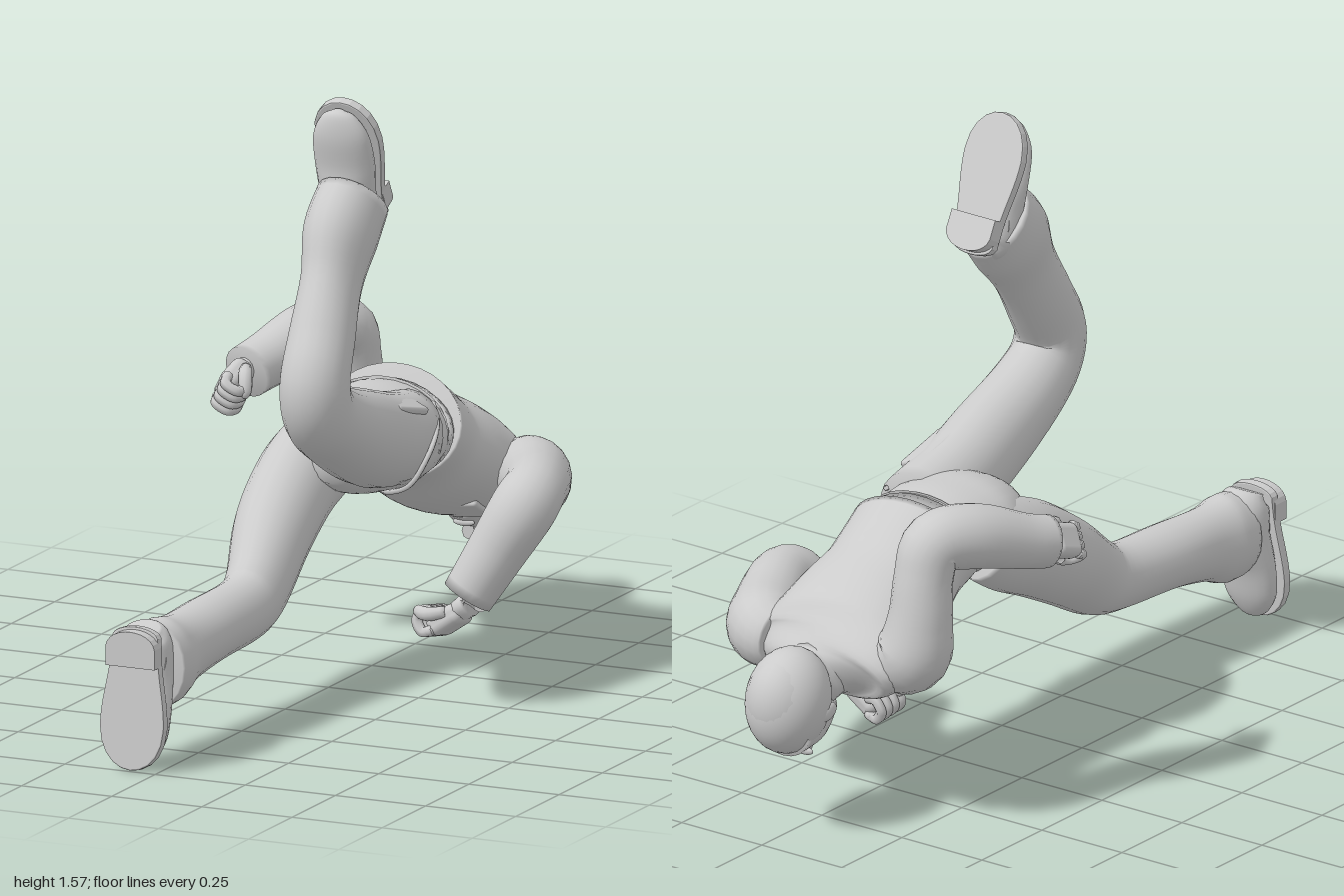
import * as THREE from 'three';
import { RoundedBoxGeometry } from 'three/addons/geometries/RoundedBoxGeometry.js';

const V = (x, y, z) => new THREE.Vector3(x, y, z);
const grey = new THREE.MeshStandardMaterial({ color: 0xcccccc, side: THREE.DoubleSide });

function add(parent, name, geometry, pos = [0, 0, 0], scale = [1, 1, 1], rot = [0, 0, 0]) {
  const mesh = new THREE.Mesh(geometry, grey);
  mesh.name = name;
  mesh.position.set(...pos);
  mesh.scale.set(...scale);
  mesh.rotation.set(...rot);
  parent.add(mesh);
}

// Group whose local y and z axes point along up and forward
function frame(parent, name, pos, up, forward) {
  const g = new THREE.Group();
  g.name = name;
  const z = V(...forward).normalize();
  const x = V(...up).cross(z).normalize();
  g.quaternion.setFromRotationMatrix(new THREE.Matrix4().makeBasis(x, z.clone().cross(x), z));
  g.position.set(...pos);
  parent.add(g);
  return g;
}

// Smooth skin over elliptical sections [x, y, z, half width along side, half depth]
function loft(sections, side = [1, 0, 0], steps = 5, sides = 20) {
  const path = new THREE.CatmullRomCurve3(sections.map(s => V(s[0], s[1], s[2])), false, 'catmullrom');
  const size = new THREE.CatmullRomCurve3(sections.map(s => V(s[3], s[4] ?? s[3], 0)), false, 'catmullrom');
  const n = (sections.length - 1) * steps;
  const pos = [], index = [];
  for (let i = 0; i <= n; i++) {
    const p = path.getPoint(i / n), r = size.getPoint(i / n), t = path.getTangent(i / n);
    const u = V(...side).addScaledVector(t, -t.dot(V(...side))).normalize();
    const v = t.clone().cross(u);
    for (let j = 0; j < sides; j++) {
      const a = j / sides * Math.PI * 2;
      const q = p.clone().addScaledVector(u, r.x * Math.cos(a)).addScaledVector(v, r.y * Math.sin(a));
      pos.push(q.x, q.y, q.z);
    }
  }
  const first = pos.length / 3;
  pos.push(...path.getPoint(0).toArray(), ...path.getPoint(1).toArray());
  for (let j = 0; j < sides; j++) {
    const k = (j + 1) % sides;
    for (let i = 0; i < n; i++) {
      const a = i * sides + j, b = i * sides + k;
      index.push(a, b, b + sides, a, b + sides, a + sides);
    }
    index.push(first, k, j, first + 1, n * sides + j, n * sides + k);
  }
  const g = new THREE.BufferGeometry();
  g.setAttribute('position', new THREE.Float32BufferAttribute(pos, 3));
  g.setIndex(index);
  g.computeVertexNormals();
  return g;
}

const tube = (points, r) => new THREE.TubeGeometry(new THREE.CatmullRomCurve3(points.map(p => V(...p))), 32, r, 6);
const ball = new THREE.SphereGeometry(1, 24, 16);

// Shoe: heel at the origin, toe along +z, sole facing -y
function shoe(parent, name, pos, up, forward) {
  const g = frame(parent, name, pos, up, forward);
  const outline = new THREE.Shape();
  outline.moveTo(-0.06, 0.02);
  outline.bezierCurveTo(-0.05, -0.01, 0.05, -0.01, 0.06, 0.02);
  outline.bezierCurveTo(0.06, 0.12, 0.085, 0.17, 0.085, 0.25);
  outline.bezierCurveTo(0.08, 0.39, -0.08, 0.39, -0.085, 0.25);
  outline.bezierCurveTo(-0.085, 0.17, -0.06, 0.12, -0.06, 0.02);
  const sole = new THREE.ExtrudeGeometry(outline, { depth: 0.018, bevelEnabled: true, bevelSize: 0.004, bevelThickness: 0.004, bevelSegments: 2, curveSegments: 10 });
  add(g, 'sole', sole, [0, 0.052, 0], [1, 1, 1], [Math.PI / 2 + 0.085, 0, 0]);
  const heel = new THREE.Shape();
  heel.moveTo(-0.068, 0.09);
  heel.lineTo(-0.068, 0.04);
  heel.bezierCurveTo(-0.06, -0.015, 0.06, -0.015, 0.068, 0.04);
  heel.lineTo(0.068, 0.09);
  add(g, 'heel', new THREE.ExtrudeGeometry(heel, { depth: 0.045, bevelEnabled: false }), [0, 0.045, 0], [1, 1, 1], [Math.PI / 2, 0, 0]);
  add(g, 'shoeUpper', loft([
    [0, 0.075, 0.005, 0.045, 0.035], [0, 0.09, 0.04, 0.068, 0.06], [0, 0.09, 0.12, 0.072, 0.062],
    [0, 0.07, 0.2, 0.08, 0.05], [0, 0.056, 0.28, 0.074, 0.042], [0, 0.046, 0.33, 0.045, 0.026], [0, 0.04, 0.347, 0.012, 0.008],
  ]));
  add(g, 'shoeCollar', loft([[0, 0.07, 0.08, 0.068, 0.075], [0, 0.17, 0.1, 0.07, 0.08]]));
}

// Closed hand: local z runs from wrist to knuckles, y is the back of the hand
function fist(parent, name, pos, up, forward, thumbSide) {
  const g = frame(parent, name, pos, up, forward);
  add(g, 'palm', new RoundedBoxGeometry(0.09, 0.055, 0.1, 3, 0.022), [0, 0.012, -0.01]);
  for (let i = 0; i < 4; i++) {
    const x = (i - 1.5) * 0.024;
    add(g, 'finger', tube([[x, 0.022, 0.025], [x, 0.012, 0.055], [x, -0.022, 0.055], [x, -0.035, 0.025], [x, -0.02, 0.005]], 0.014));
    add(g, 'knuckle', ball, [x, 0.02, 0.035], [0.014, 0.014, 0.014]);
  }
  add(g, 'wrist', loft([[0, 0.005, -0.1, 0.04, 0.035], [0, 0.008, -0.03, 0.04, 0.026]], [1, 0, 0], 2, 14));
  add(g, 'thumb', loft([[thumbSide * 0.04, 0, -0.03, 0.014], [thumbSide * 0.055, -0.015, 0.01, 0.018],
    [thumbSide * 0.035, -0.04, 0.04, 0.015], [thumbSide * 0.02, -0.045, 0.045, 0.005]], [0, 1, 0.3], 4, 10));
}

export function createModel() {
  const model = new THREE.Group();
  model.name = 'runningFigure';
  const roll = [1, -0.1, 0];

  // Hips and trousers
  add(model, 'hips', loft([[0.02, 0.575, 0.04, 0.04, 0.04], [0.02, 0.585, -0.04, 0.13, 0.095], [0.02, 0.6, -0.14, 0.185, 0.122],
    [0.018, 0.605, -0.22, 0.188, 0.125], [0.015, 0.605, -0.3, 0.175, 0.12], [0.01, 0.58, -0.42, 0.155, 0.11]], roll, 5, 28));
  add(model, 'belt', loft([[0.015, 0.61, -0.29, 0.18, 0.124], [0.015, 0.6, -0.325, 0.177, 0.124]], roll, 2, 28));
  add(model, 'rightLeg', loft([
    [-0.08, 0.595, -0.2, 0.1, 0.11], [-0.095, 0.55, -0.11, 0.108, 0.122], [-0.1, 0.505, -0.01, 0.105, 0.123], [-0.09, 0.425, 0.13, 0.1, 0.115],
    [-0.055, 0.32, 0.3, 0.08, 0.1], [-0.05, 0.285, 0.4, 0.078, 0.087], [-0.055, 0.275, 0.6, 0.085, 0.085],
    [-0.06, 0.26, 0.75, 0.08, 0.095], [-0.06, 0.25, 0.83, 0.088, 0.115], [-0.06, 0.25, 0.89, 0.085, 0.11]]));
  add(model, 'leftLeg', loft([
    [0.11, 0.615, -0.22, 0.1, 0.115], [0.12, 0.64, -0.05, 0.105, 0.122], [0.14, 0.69, 0.12, 0.105, 0.12],
    [0.155, 0.76, 0.3, 0.098, 0.105], [0.165, 0.82, 0.4, 0.09, 0.1], [0.165, 0.9, 0.42, 0.088, 0.095],
    [0.155, 1.0, 0.36, 0.083, 0.093], [0.14, 1.12, 0.275, 0.075, 0.097], [0.13, 1.22, 0.205, 0.09, 0.118], [0.13, 1.3, 0.13, 0.09, 0.11]]));
  shoe(model, 'rightShoe', [-0.07, 0.358, 1], [0, 0, -1], [0, -1, 0]);
  shoe(model, 'leftShoe', [0.12, 1.255, 0], [0, -0.46, 0.89], [0, 0.89, 0.46]);

  // Thigh pocket and hanging cord
  add(model, 'thighPocket', new RoundedBoxGeometry(0.09, 0.02, 0.17, 2, 0.008), [0.165, 0.735, -0.07], [1, 1, 1], [-0.24, 0, -0.4]);
  add(model, 'hipCord', tube([[0.16, 0.69, -0.27], [0.205, 0.65, -0.2], [0.222, 0.6, -0.12], [0.18, 0.52, -0.1], [0.07, 0.475, -0.17], [0.03, 0.48, -0.27]], 0.007));

  // Jacket
  add(model, 'jacket', loft([[0.01, 0.61, -0.345, 0.185, 0.148], [0.005, 0.575, -0.42, 0.182, 0.14], [0, 0.54, -0.48, 0.19, 0.138], [0, 0.49, -0.57, 0.212, 0.148],
    [-0.005, 0.445, -0.66, 0.232, 0.145], [-0.005, 0.42, -0.72, 0.245, 0.113], [0, 0.402, -0.758, 0.19, 0.085], [0, 0.385, -0.785, 0.08, 0.065]], roll, 5, 32));
  add(model, 'collar', loft([[0, 0.41, -0.745, 0.1, 0.085], [0, 0.385, -0.8, 0.085, 0.08]], roll, 3));
  add(model, 'neck', loft([[0, 0.42, -0.73, 0.07], [0, 0.365, -0.87, 0.065]], roll, 3));
  for (const s of [-1, 1])
    add(model, 'chestPocket', new RoundedBoxGeometry(0.1, 0.025, 0.1, 2, 0.008), [s * 0.1, 0.355 - s * 0.01, -0.58], [1, 1, 1], [-0.5, 0, -0.12 + s * 0.25]);

  // Right arm, elbow raised behind the back
  add(model, 'rightArm', loft([[-0.17, 0.44, -0.69, 0.085], [-0.235, 0.475, -0.685, 0.098], [-0.255, 0.57, -0.68, 0.082], [-0.255, 0.68, -0.665, 0.075],
    [-0.262, 0.757, -0.63, 0.08], [-0.31, 0.757, -0.53, 0.083], [-0.365, 0.715, -0.4, 0.071], [-0.387, 0.697, -0.33, 0.068]], [1, 0.2, 0.35]));
  fist(model, 'rightHand', [-0.39, 0.677, -0.272], [-0.8, 0.5, 0], [-0.05, -0.3, 0.9], 1);

  // Left arm, forearm hanging down and inward
  const bend = [0.73, -0.53, -0.38];
  add(model, 'leftArm', loft([[0.16, 0.42, -0.69, 0.08], [0.235, 0.425, -0.67, 0.098], [0.3, 0.435, -0.57, 0.09], [0.36, 0.45, -0.44, 0.08],
    [0.362, 0.415, -0.365, 0.084], [0.305, 0.305, -0.325, 0.075], [0.245, 0.195, -0.292, 0.067]], bend));
  fist(model, 'leftHand', [0.18, 0.135, -0.295], [0.5, -0.8, 0.2], [-0.8, -0.55, 0], -1);

  // Head, face toward the ground, crown leading
  const head = frame(model, 'head', [0, 0.345, -0.885], [0, -0.25, -0.97], [0, -0.97, 0.25]);
  add(head, 'skull', ball, [0, 0.01, -0.01], [0.098, 0.108, 0.128]);
  add(head, 'hair', new THREE.SphereGeometry(1, 28, 14, 0, Math.PI * 2, 0, 2.0), [0, 0, -0.012], [0.107, 0.115, 0.137], [-0.5, 0, 0]);
  add(head, 'face', loft([[0, 0.05, 0.05, 0.085, 0.07], [0, -0.02, 0.06, 0.083, 0.07], [0, -0.075, 0.06, 0.07, 0.06], [0, -0.125, 0.07, 0.045, 0.038]], [1, 0, 0], 4));
  add(head, 'nose', new THREE.ConeGeometry(0.018, 0.055, 8), [0, -0.02, 0.132], [1, 1, 1.2], [-0.25, 0, 0]);
  add(head, 'mouth', ball, [0, -0.078, 0.117], [0.03, 0.009, 0.01]);
  for (const s of [-1, 1]) {
    add(head, 'ear', ball, [s * 0.094, -0.03, 0.02], [0.012, 0.034, 0.022]);
    add(head, 'brow', ball, [s * 0.036, 0.02, 0.118], [0.03, 0.01, 0.012]);
    add(head, 'eye', ball, [s * 0.036, 0.002, 0.116], [0.014, 0.01, 0.012]);
  }
  return model;
}
